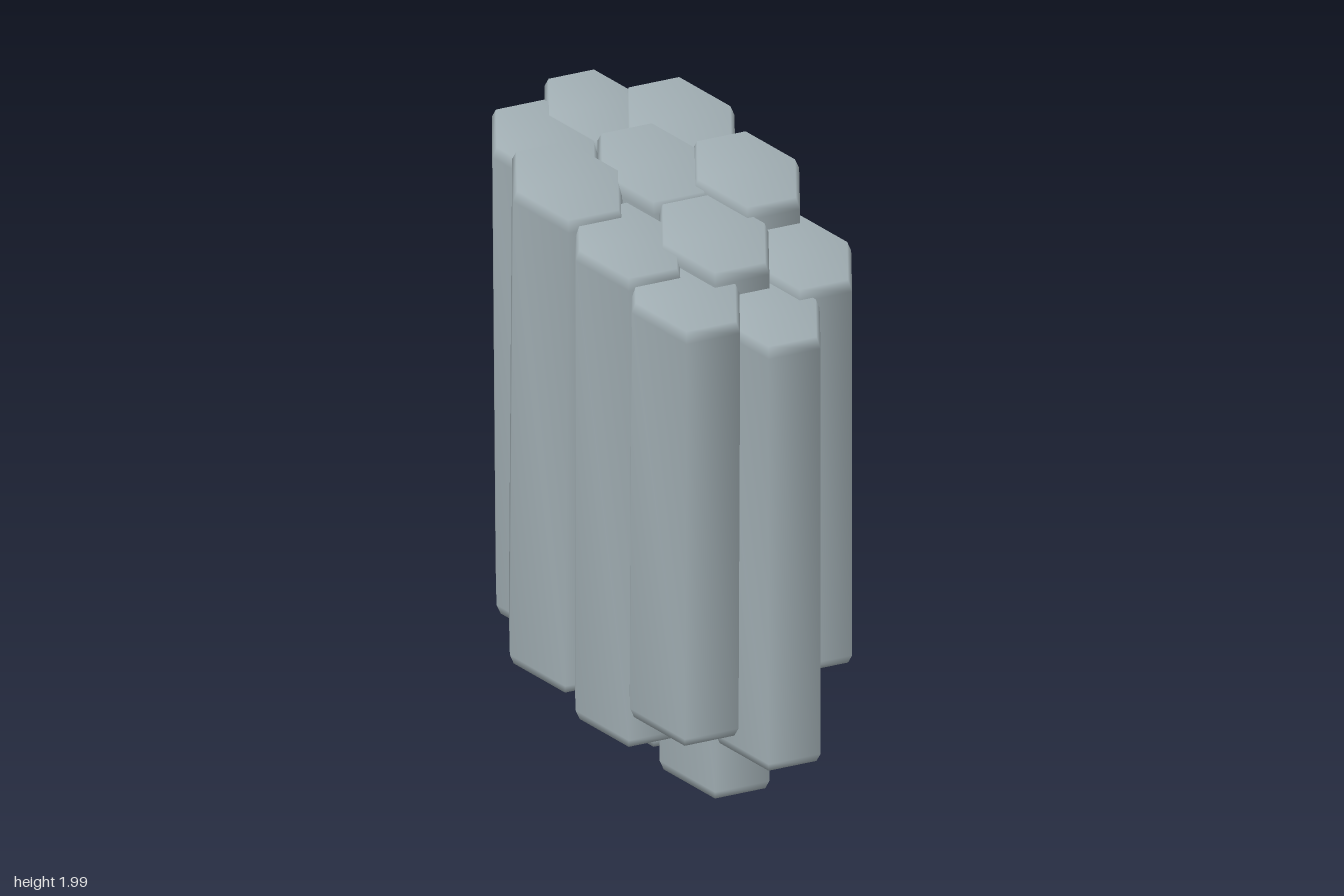
import * as THREE from 'three';
import { mergeVertices } from 'three/addons/utils/BufferGeometryUtils.js';

// Tilt shared by all column ends: they fall toward +x and +z
const SLOPE_X = -0.35;
const SLOPE_Z = -0.2;

// x, z, radius, middle height of the bottom, middle height of the top, lean of the foot in x and z
const COLUMNS = [
  [-0.155, -0.322, 0.187, 0.625, 1.9, 0, 0],
  [-0.37, -0.19, 0.17, 0.56, 1.94, 0, 0],
  [-0.41, 0.04, 0.18, 0.44, 1.905, 0.013, 0],
  [-0.245, 0.2, 0.187, 0.365, 1.85, -0.006, 0.01],
  [-0.1, -0.057, 0.187, 0.135, 1.85, 0, 0],
  [0.13, -0.213, 0.181, 0.185, 1.82, 0.005, -0.018],
  [0.37, -0.1, 0.18, 0.435, 1.64, 0, 0],
  [0.18, 0.074, 0.187, 0.065, 1.72, 0, 0],
  [0.408, 0.158, 0.179, 0.215, 1.55, 0, 0],
  [0.22, 0.319, 0.185, 0.315, 1.62, -0.006, 0],
  [0, 0.274, 0.18, 0.255, 1.73, 0, 0],
];

// Six-sided prism with bevelled, slanted ends and soft normals
function columnGeometry(radius, bottom, top, leanX, leanZ) {
  const inset = 0.014;
  const bevel = 0.03;
  const profile = [
    [0, bottom], [radius - inset, bottom], [radius, bottom + bevel],
    [radius, top - bevel], [radius - inset, top], [0, top],
  ].map(([x, y]) => new THREE.Vector2(x, y));
  let geometry = new THREE.LatheGeometry(profile, 6, Math.PI / 2);
  geometry.deleteAttribute('normal');
  geometry.deleteAttribute('uv');
  geometry = mergeVertices(geometry, 1e-4);

  const p = geometry.attributes.position;
  for (let i = 0; i < p.count; i++) {
    const x = p.getX(i), y = p.getY(i), z = p.getZ(i);
    const foot = (top - y) / (top - bottom);
    p.setXYZ(i, x + leanX * foot, y + SLOPE_X * x + SLOPE_Z * z, z + leanZ * foot);
  }
  geometry.computeVertexNormals();
  return geometry;
}

export function createModel() {
  const group = new THREE.Group();
  group.name = 'hexagonalColumns';
  const stone = new THREE.MeshStandardMaterial({ color: 0x9eabb0 });
  stone.name = 'blueGreyStone';

  COLUMNS.forEach(([x, z, radius, bottom, top, leanX, leanZ], i) => {
    const column = new THREE.Mesh(columnGeometry(radius, bottom, top, leanX, leanZ), stone);
    column.name = `column${i + 1}`;
    column.position.set(x, 0, z);
    group.add(column);
  });
  return group;
}
